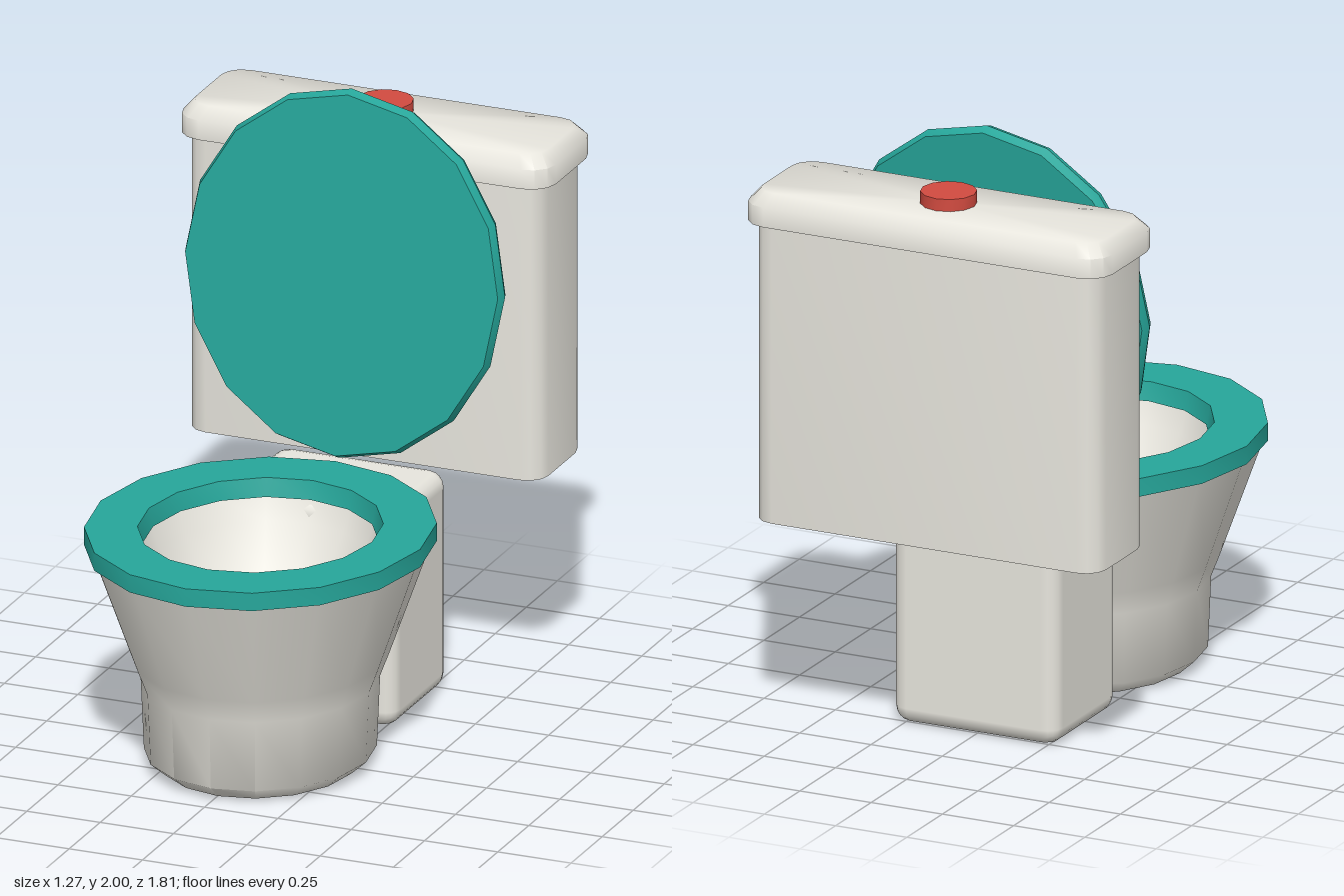
import * as THREE from 'three';
import { toCreasedNormals } from 'three/addons/utils/BufferGeometryUtils.js';
import { RoundedBoxGeometry } from 'three/addons/geometries/RoundedBoxGeometry.js';

const SIDES = 16;
const STRETCH = 1.11; // ovals are longer than wide

function material(name, color, side = THREE.FrontSide) {
  const m = new THREE.MeshStandardMaterial({ color, side });
  m.name = name;
  return m;
}

// Oval turned part from [radius, height] pairs
function oval(profile, crease) {
  const g = new THREE.LatheGeometry(profile.map(([r, y]) => new THREE.Vector2(r, y)), SIDES);
  g.scale(1, 1, STRETCH);
  return toCreasedNormals(g, crease);
}

// Rounded rectangle lofted through [height, inset] rings, bottom to top
function roundedLoft(width, depth, radius, rings, capped) {
  const pos = [];
  const steps = 3;
  const loops = rings.map(([y, inset]) => {
    const loop = [];
    const r = radius - inset * 0.4;
    const cx = width / 2 - inset - r, cz = depth / 2 - inset - r;
    for (let q = 0; q < 4; q++) {
      const sx = q === 0 || q === 3 ? 1 : -1, sz = q < 2 ? 1 : -1;
      for (let i = 0; i <= steps; i++) {
        const a = (q + i / steps) * Math.PI / 2;
        loop.push([sx * cx + r * Math.cos(a), y, sz * cz + r * Math.sin(a)]);
      }
    }
    return loop;
  });
  const n = loops[0].length;
  const tri = (a, b, c) => pos.push(...a, ...b, ...c);
  for (let i = 0; i < n; i++) {
    const j = (i + 1) % n;
    for (let k = 0; k + 1 < loops.length; k++) {
      const lo = loops[k], hi = loops[k + 1];
      tri(lo[i], hi[i], hi[j]);
      tri(lo[i], hi[j], lo[j]);
    }
    if (capped) {
      const lo = loops[0], hi = loops[loops.length - 1];
      tri(lo[i], lo[j], [0, lo[0][1], 0]);
      tri(hi[j], hi[i], [0, hi[0][1], 0]);
    }
  }
  const g = new THREE.BufferGeometry();
  g.setAttribute('position', new THREE.Float32BufferAttribute(pos, 3));
  return toCreasedNormals(g, 0.9);
}

export function createModel() {
  const model = new THREE.Group();
  model.name = 'toilet';
  const ceramic = material('white ceramic', 0xe8e6de, THREE.DoubleSide);
  const teal = material('teal plastic', 0x26a69a);
  const red = material('red button', 0xd24b40);
  const blue = material('water blue', 0x92cdea);

  function add(name, geometry, mat, x, y, z) {
    const mesh = new THREE.Mesh(geometry, mat);
    mesh.name = name;
    mesh.position.set(x, y, z);
    model.add(mesh);
    return mesh;
  }

  // Bowl: outside wall, rim, then the hollow inside
  add('bowl', oval([
    [0, 0], [0.31, 0], [0.36, 0.045], [0.37, 0.28], [0.40, 0.36], [0.53, 0.73],
    [0.375, 0.735], [0.345, 0.66], [0.25, 0.50], [0.15, 0.42], [0, 0.40],
  ], 0.9), ceramic, 0, 0, 0.3);

  const water = new THREE.CircleGeometry(0.258, SIDES);
  water.rotateX(-Math.PI / 2);
  water.scale(1, 1, STRETCH);
  add('water', water, blue, 0, 0.51, 0.3);

  // Seat ring
  add('seat', oval([
    [0.545, 0.73], [0.545, 0.79], [0.38, 0.79], [0.366, 0.73], [0.545, 0.73],
  ], 0.6), teal, 0, 0, 0.3);

  // Raised cover with a bevelled edge, leaning back
  const cover = oval([
    [0, -0.031], [0.533, -0.031], [0.545, 0], [0.533, 0.031], [0, 0.031],
  ], 0.6);
  add('cover', cover, teal, 0, 1.395, -0.383).rotation.x = Math.PI / 2 - 0.087;

  // Pedestal behind the bowl
  add('pedestal', new RoundedBoxGeometry(0.58, 0.73, 0.445, 2, 0.055), ceramic, 0, 0.365, -0.3125);

  // Tank, open underneath, with its lid and flush button
  add('tank', roundedLoft(1.21, 0.36, 0.07, [[0.73, 0], [1.74, 0]], false), ceramic, 0, 0, -0.70);
  add('tankLid', roundedLoft(1.27, 0.41, 0.085, [[1.72, 0], [1.785, 0], [1.825, 0.035]], true),
    ceramic, 0, 0, -0.7025);
  add('flushButton', toCreasedNormals(new THREE.CylinderGeometry(0.09, 0.09, 0.07, 12), 0.6),
    red, 0, 1.83, -0.705);

  return model;
}
